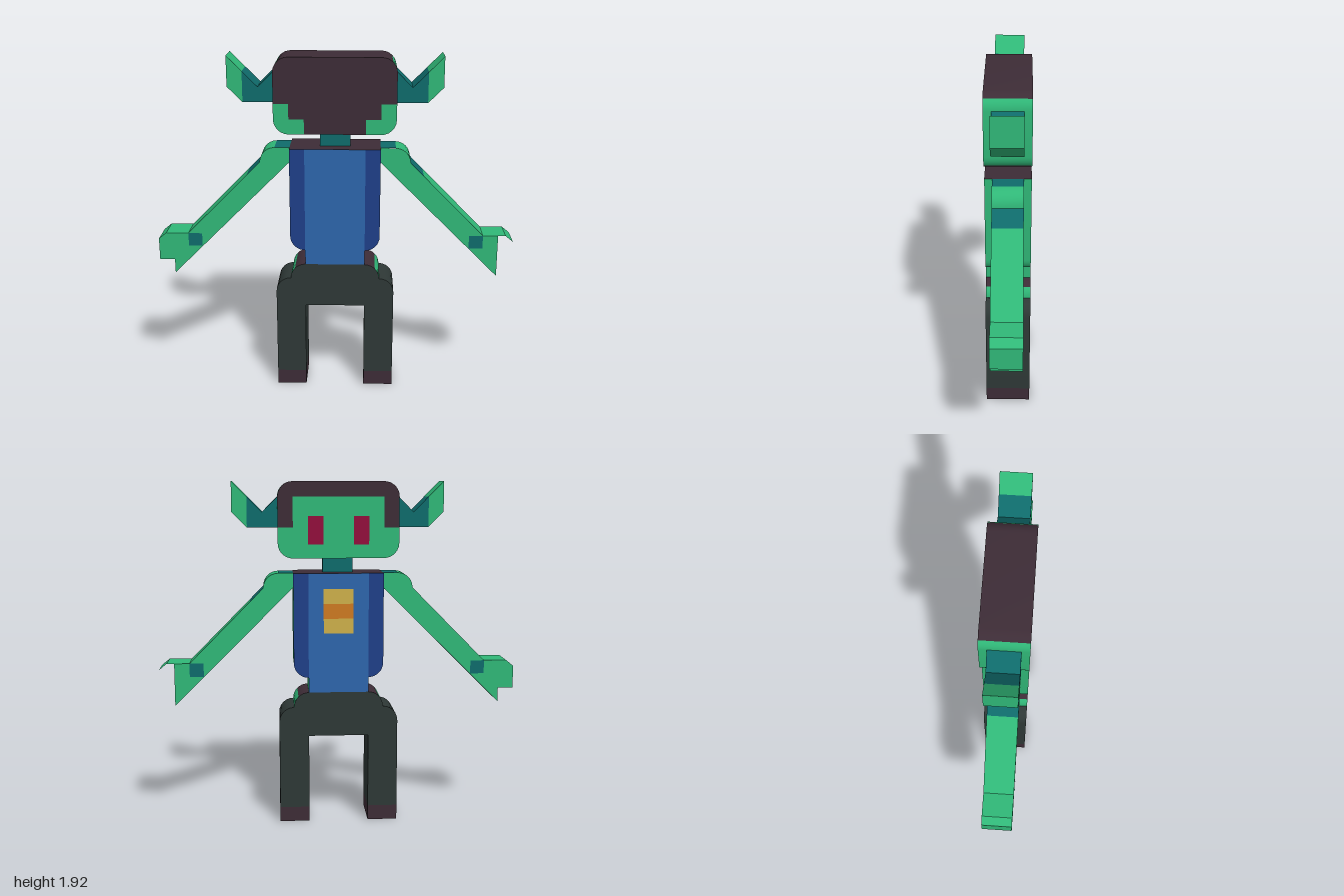
import * as THREE from 'three';
import { toCreasedNormals } from 'three/addons/utils/BufferGeometryUtils.js';

const material = (name, color) => Object.assign(new THREE.MeshStandardMaterial({ color }), { name });
const green = material('green skin', 0x30b878);
const teal = material('dark teal', 0x0f6b6b);
const plum = material('plum hair and shoes', 0x3d2c36);
const grey = material('charcoal trousers', 0x2e3836);
const blue = material('blue shirt', 0x2d66ac);
const navy = material('navy jacket', 0x1f3f88);
const crimson = material('crimson eyes', 0x920f3c);
const yellow = material('yellow badge', 0xcdb04a);
const orange = material('orange badge', 0xcd7a22);

const R = 0.083, D = 0.125, E = 0.003; // corner radius, half depth, paint offset

// Points of an arc, angles in degrees
function arc(cx, cy, a0, a1, steps = 6) {
  return Array.from({ length: steps + 1 }, (_, i) => {
    const a = THREE.MathUtils.degToRad(a0 + (a1 - a0) * i / steps);
    return [cx + R * Math.cos(a), cy + R * Math.sin(a)];
  });
}
const mirror = pts => pts.map(([x, y]) => [-x, y]).reverse();
const rect = (x0, y0, x1, y1) => [[x0, y0], [x1, y0], [x1, y1], [x0, y1]];

function add(parent, name, geometry, mat) {
  const mesh = new THREE.Mesh(geometry, mat);
  mesh.name = name;
  parent.add(mesh);
}

// Flat face at depth z; negative z faces backwards
function plate(parent, name, pts, z, mat) {
  const outline = (z < 0 ? mirror(pts) : pts).map(p => new THREE.Vector2(...p));
  const g = new THREE.ShapeGeometry(new THREE.Shape(outline));
  g.translate(0, 0, Math.abs(z));
  if (z < 0) g.rotateY(Math.PI);
  add(parent, name, g, mat);
}
function plates(parent, name, pts, z, mat) {
  plate(parent, name + 'Front', pts, z, mat);
  plate(parent, name + 'Back', pts, -z, mat);
}

// Side wall along a path that runs counterclockwise around the part
function wall(parent, name, pts, hz, mat) {
  const pos = [];
  for (let i = 0; i + 1 < pts.length; i++) {
    const [a, b] = [pts[i], pts[i + 1]];
    for (const [p, z] of [[a, hz], [a, -hz], [b, -hz], [a, hz], [b, -hz], [b, hz]]) pos.push(p[0], p[1], z);
  }
  const g = new THREE.BufferGeometry();
  g.setAttribute('position', new THREE.Float32BufferAttribute(pos, 3));
  add(parent, name, toCreasedNormals(g, 0.6), mat);
}

function part(root, name) {
  const g = new THREE.Group();
  g.name = name;
  root.add(g);
  return g;
}

function buildHead(root) {
  const head = part(root, 'head');
  const side = [...arc(0.25, 1.583, -45, 0, 4), ...arc(0.25, 1.833, 0, 45, 4)];
  const top = [...arc(0.25, 1.833, 45, 90, 4), ...arc(-0.25, 1.833, 90, 135, 4)];
  const bottom = [...arc(-0.25, 1.583, 225, 270, 4), ...arc(0.25, 1.583, 270, 315, 4)];
  wall(head, 'rightCheek', mirror(side), D, green);
  wall(head, 'leftCheek', side, D, green);
  wall(head, 'hairTop', top, D, plum);
  wall(head, 'headUnderside', bottom, D, plum);
  plates(head, 'hair', [...bottom, ...side, ...top, ...mirror(side)], D, plum);
  // Skin showing beside the hair at one side, and the face at the other
  const corner = [[0.167, 1.5], ...arc(0.25, 1.583, 270, 360), [0.333, 1.667],
    [0.25, 1.667], [0.25, 1.583], [0.167, 1.583]];
  for (const c of [corner, mirror(corner)]) plate(head, 'napeSkin', c, D + E, green);
  const half = [...arc(0.25, 1.583, 270, 360), [0.333, 1.667], [0.25, 1.667], [0.25, 1.833]];
  plate(head, 'face', [...half, ...mirror(half)], -D - E, green);
  for (const s of [-1, 1])
    plate(head, 'eye', rect(s * 0.125 - 0.042, 1.575, s * 0.125 + 0.042, 1.73), -D - 2 * E, crimson);
  const neck = new THREE.BoxGeometry(0.167, 0.083, 0.083);
  neck.translate(0, 1.458, 0);
  add(head, 'neck', neck, teal);
}

function buildTorso(root) {
  const torso = part(root, 'torso');
  const side = [[0.167, 0.75], [0.167, 0.833]];
  const under = arc(0.167, 0.917, 270, 315, 4);
  const flank = [...arc(0.167, 0.917, 315, 360, 4), [0.25, 1.417]];
  for (const m of [p => p, mirror]) {
    wall(torso, 'waistSide', m(side), D, green);
    wall(torso, 'jacketHem', m(under), D, plum);
    wall(torso, 'flank', m(flank), D, green);
    plates(torso, 'jacket', m([...under, ...flank, [0.167, 1.417]]), D, navy);
  }
  wall(torso, 'shoulderTop', [[0.25, 1.417], [-0.25, 1.417]], D, plum);
  plates(torso, 'shirt', rect(-0.167, 0.75, 0.167, 1.417), D, blue);
  [yellow, orange, yellow].forEach((mat, i) =>
    plate(torso, 'badgeStripe', rect(-0.083, 1.083 + i * 0.083, 0.083, 1.166 + i * 0.083), -D - E, mat));
}

function buildLegs(root) {
  const legs = part(root, 'trousers');
  const outer = [[0.333, 0.083], ...arc(0.25, 0.583, 0, 90)];
  const hip = arc(0.167, 0.667, 0, 45, 4);
  const waist = [...arc(0.167, 0.667, 45, 90, 4), [0, 0.75]];
  const inner = [[0.167, 0.5], [0.167, 0.083]];
  const half = [...inner, ...outer, ...hip, ...waist];
  plates(legs, 'trouserFace', [...half, ...mirror(half)], D, grey);
  wall(legs, 'crotch', [[-0.167, 0.5], [0.167, 0.5]], D, grey);
  for (const m of [p => p, mirror]) {
    wall(legs, 'legInside', m(inner), D, grey);
    wall(legs, 'legOutside', m(outer), D, grey);
    wall(legs, 'hip', m(hip), D, green);
    wall(legs, 'waistband', m(waist), D, plum);
  }
  for (const s of [-1, 1]) {
    const shoe = new THREE.BoxGeometry(0.166, 0.083, 0.25);
    shoe.translate(s * 0.25, 0.0415, 0);
    add(legs, s > 0 ? 'leftShoe' : 'rightShoe', shoe, plum);
  }
}

function buildLimbs(root, s) {
  const m = s > 0 ? p => p : mirror;
  const side = s > 0 ? 'left' : 'right';

  // Arm with a rounded shoulder and a teal band
  const arm = part(root, side + 'Arm');
  const curve = arc(0.333, 1.333, 0, 90);
  const lower = [[0.25, 1.335], [0.915, 0.675], [0.915, 0.915], [0.83, 0.915], [0.49, 1.258]];
  plates(arm, 'arm', m([...lower, ...curve, [0.25, 1.417]]), R, green);
  wall(arm, 'armSides', m(lower), R, green);
  wall(arm, 'armBand', m([[0.49, 1.258], [0.416, 1.333]]), R, teal);
  wall(arm, 'shoulder', m(curve), R, green);
  wall(arm, 'shoulderBand', m([[0.333, 1.417], [0.25, 1.417]]), R, teal);
  plates(arm, 'cuff', m(rect(0.752, 0.84, 0.83, 0.915)), R + E, teal);

  // Fingers; the left hand is open at its front and back
  const fingers = [[0.915, 0.755], [1, 0.755], [1, 0.88], [0.957, 0.915], [0.915, 0.915]];
  wall(arm, 'fingers', m(fingers), R, green);
  if (s < 0) plates(arm, 'fingers', m(fingers), R, green);

  // Ear with a teal base and a green tip
  const ear = part(root, side + 'Ear');
  const base = [[0.333, 1.667], [0.5, 1.667], [0.5, 1.833], [0.417, 1.75], [0.333, 1.833]];
  const tip = [[0.5, 1.667], [0.583, 1.75], [0.583, 1.917], [0.5, 1.833]];
  plates(ear, 'earBase', m(base), R, teal);
  plates(ear, 'earTip', m(tip), R, green);
  wall(ear, 'earBaseBottom', m(base.slice(0, 2)), R, teal);
  wall(ear, 'earBaseTop', m(base.slice(2)), R, teal);
  wall(ear, 'earTipSides', m(tip), R, green);
}

export function createModel() {
  const root = new THREE.Group();
  root.name = 'flatFigure';
  buildHead(root);
  buildTorso(root);
  buildLegs(root);
  for (const s of [1, -1]) buildLimbs(root, s);
  return root;
}
